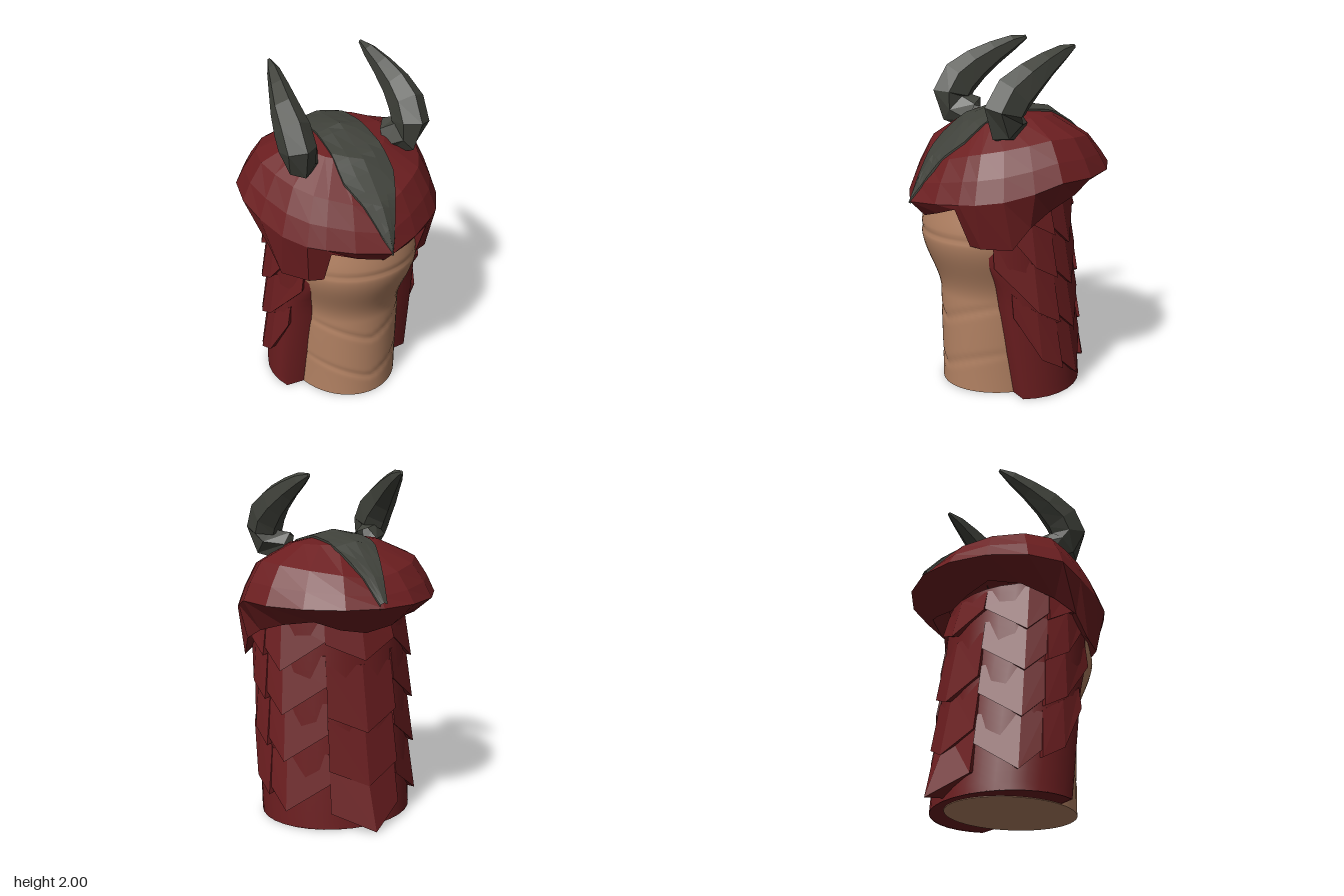
import * as THREE from 'three';

const paint = (name, color) => {
  const m = new THREE.MeshStandardMaterial({ color, side: THREE.DoubleSide });
  m.name = name;
  return m;
};
const { lerp, degToRad } = THREE.MathUtils;
const bump = (y, at, width) => Math.exp(-(((y - at) / width) ** 2));

// Surface through equal-length rows of [x, y, z] points
function loft(rows, { closed = false, flat = true } = {}) {
  const n = rows[0].length, index = [];
  for (let r = 0; r < rows.length - 1; r++) {
    for (let c = 0; c < (closed ? n : n - 1); c++) {
      const a = r * n + c, b = r * n + (c + 1) % n;
      index.push(a, b, a + n, b, b + n, a + n);
    }
  }
  let g = new THREE.BufferGeometry();
  g.setAttribute('position', new THREE.Float32BufferAttribute(rows.flat(2), 3));
  g.setIndex(index);
  if (flat) g = g.toNonIndexed();
  g.computeVertexNormals();
  return g;
}

export function createModel() {
  const model = new THREE.Group();
  const red = paint('dark red', 0x6c1e20);
  const tan = paint('tan skin', 0xb38263);
  const dark = paint('charcoal horn', 0x40423b);
  const add = (name, geo, mat, parent = model) => {
    const m = new THREE.Mesh(geo, mat);
    m.name = name;
    parent.add(m);
    return m;
  };

  // Neck: smooth column with V-shaped skin folds. Keys: y, front z, back z, half width
  const keys = [[0, .39, -.38, .325], [.56, .395, -.34, .33], [.94, .503, -.28, .4], [1.2, .47, -.24, .37]];
  const neckAt = (y) => {
    let i = 0;
    while (i < keys.length - 2 && y > keys[i + 1][0]) i++;
    const t = THREE.MathUtils.smoothstep(y, keys[i][0], keys[i + 1][0]);
    return keys[i].map((v, k) => lerp(v, keys[i + 1][k], t));
  };
  const neckRows = [];
  for (let r = 0; r <= 80; r++) {
    const y = 1.2 * r / 80, [, zf, zb, rx] = neckAt(y), row = [];
    for (let c = 0; c < 48; c++) {
      const a = c / 48 * Math.PI * 2, s = Math.sin(a), k = Math.cos(a);
      const v = Math.abs(s) * rx * .42;
      const dent = k > 0 ? k * .008 * (bump(y, .41 + v, .02) + bump(y, .12 + v, .02) + bump(y, .95, .015)) : 0;
      row.push([s * (rx - dent), y, (zf + zb) / 2 + k * ((zf - zb) / 2 - dent)]);
    }
    neckRows.push(row);
  }
  add('neck', loft(neckRows, { closed: true, flat: false }), tan);
  add('neckBase', loft([neckRows[0].map(() => [0, 0, 0]), neckRows[0]], { closed: true }), tan);

  // Mantle: rounded shell over the back; angle 0 is the spine, front edge leans forward near the cheeks
  const mantleAt = (deg, y, out = 0) => {
    const a = degToRad(deg);
    return [(.452 + out) * Math.sin(a), y, lerp(-.04, .05, y / 1.15) - (.395 + out) * Math.cos(a)];
  };
  const reach = (y) => 110.5 + 12 * y + 9 * bump(y, .85, .13);
  const mantleRows = [];
  for (let r = 0; r <= 24; r++) {
    const y = 1.22 * (1 - r / 24), row = [];
    for (let i = -10; i <= 10; i++) row.push(mantleAt(reach(y) * i / 10, y));
    const z = row[0][2];
    mantleRows.push([[-.28, y, z + .01], ...row, [.28, y, z + .01]]);
  }
  add('mantle', loft(mantleRows, { flat: false }), red);
  const hem = mantleRows[24].map(([x, , z]) => [x, .004, z]);
  add('mantleBase', loft([hem, hem.map(() => [0, .004, 0])]), red);

  // Scales: plates flush at the top, lifted at the pointed lower edge
  const scales = new THREE.Group();
  scales.name = 'scales';
  model.add(scales);
  const scale = (angles, tops, bottoms, lifts) => {
    const top = tops.map((v) => Math.min(v, 1.2));
    const under = angles.map((d, i) => mantleAt(d, bottoms[i] + .015, -.015));
    const lower = angles.map((d, i) => mantleAt(d, bottoms[i], lifts[i]));
    const upper = angles.map((d, i) => mantleAt(d, top[i], .004));
    const inside = angles.map((d, i) => mantleAt(d, top[i], -.015));
    const wrap = (row, inner) => [inner[0], ...row, inner[2]];
    add('scale', loft([wrap(inside, inside), wrap(upper, inside), wrap(lower, under), wrap(under, under)]), red, scales);
  };
  [.97, .56, .25, .004].forEach((tip, i) => {
    const top = tip + .38;
    scale([-27, 0, 27], [top, top, top], [tip + .1, tip, tip + .1], [.03, i === 3 ? .112 : .045, .03]);
  });
  for (const s of [-1, 1]) {
    [.98, .73, .46, .17].forEach((tip) => {
      const front = Math.min(tip + .35, 1.1);
      scale([76, 94, reach(front) - 3].map((d) => d * s), [tip + .28, tip + .36, tip + .48],
        [tip, tip + .08, front], [.04, .035, .025]);
      scale([27, 60, 78].map((d) => d * s), [tip + .27, tip + .27, tip + .27],
        [tip + .1, tip - .07, tip + .06], [.02, .04, .025]);
    });
  }

  // Hood: faceted dome, rim, cheek flaps and brim; half outlines from back to front
  const rim = [[0, 1.3, -.61], [.21, 1.3, -.565], [.4, 1.3, -.44], [.535, 1.3, -.255], [.582, 1.3, -.05], [.55, 1.25, .1],
    [.495, 1.21, .26], [.41, 1.19, .39], [.33, 1.18, .45], [.33, 1.18, .45], [.19, 1.16, .53], [0, 1.14, .6]];
  const edge = [[0, 1.13, -.41], [.16, 1.16, -.41], [.3, 1.21, -.36], [.42, 1.18, -.22], [.475, 1.12, -.03], [.5, 1.05, .1],
    [.478, .93, .2], [.38, .93, .34], [.3, .93, .37], [.3, 1.15, .46], [.16, 1.1, .5], [0, 1.05, .513]];
  const both = (half) => [...half, ...half.slice(1, -1).reverse().map(([x, y, z]) => [-x, y, z])];
  // scale, then height fraction at side, front and back
  const domeRing = ([s, side, front, back]) => both(rim.map(([x, y, z]) =>
    [x * s, lerp(y, 1.645, lerp(z > 0 ? front : back, side, x / .582)), z * s]));
  const hoodRows = [[0, 1, 1, 1], [.45, .88, .8, .88], [.8, .62, .42, .4], [.92, .3, .2, .16], [1, 0, 0, 0]].map(domeRing);
  hoodRows.push(both(edge), both(edge.map(([x, y, z]) => [x * .84, y + .1, z * .84])));
  const hood = add('hood', loft(hoodRows, { closed: true }), red);

  // Crest: ridged strip laid over the dome from brim to back. Keys: z, half width
  const ray = new THREE.Raycaster(), down = new THREE.Vector3(0, -1, 0);
  const drop = (x, z) => {
    ray.set(new THREE.Vector3(x, 3, z), down);
    const hit = ray.intersectObject(hood)[0];
    return hit ? hit.point.y : 1.16;
  };
  const crestKeys = [[.596, .004], [.55, .04], [.515, .06], [.48, .08], [.455, .094], [.43, .108], [.4, .125], [.33, .155],
    [.27, .155], [.235, .153], [.18, .15], [.05, .145], [0, .143], [-.08, .14], [-.2, .133], [-.275, .127],
    [-.38, .095], [-.488, .06], [-.56, .036], [-.6, .022]];
  const crestRows = crestKeys.map(([z, w]) => {
    // both sides share the higher ground so the strip stays symmetric
    const ground = (x) => Math.max(drop(x, z), drop(-x, z));
    const top = [-1, -.5, 0, .5, 1].map((k) => [k * w, ground(k * w) + .019 - .006 * Math.abs(k), z]);
    const skirt = ([x, y]) => [x, y - .03, z];
    return [skirt(top[0]), ...top, skirt(top[4])];
  });
  crestRows.unshift(crestRows[0].map(() => [0, 1.135, .61]));
  add('crest', loft(crestRows), dark);

  // Horns: six-sided, rooted inward, curving up and back. Keys: x, y, z, radius
  const horn = [[.25, 1.56, .08, .1], [.335, 1.595, .165, .11], [.35, 1.67, .18, .125], [.352, 1.76, .125, .122],
    [.344, 1.835, .025, .1], [.322, 1.905, -.09, .072], [.3, 1.96, -.2, .045], [.286, 1.99, -.28, .012]];
  const last = horn.length - 1;
  for (const s of [1, -1]) {
    const pts = horn.map(([x, y, z]) => new THREE.Vector3(x * s, y, z));
    const rows = pts.map((p, i) => {
      const t = pts[Math.min(i + 1, last)].clone().sub(pts[Math.max(i - 1, 0)]).normalize();
      const u = new THREE.Vector3(1, 0, 0).addScaledVector(t, -t.x).normalize();
      const v = t.clone().cross(u), row = [];
      for (let k = 0; k < 6; k++) {
        const a = (k + .5) / 6 * Math.PI * 2, r = horn[i][3];
        row.push(p.clone().addScaledVector(u, Math.cos(a) * r * .78).addScaledVector(v, Math.sin(a) * r).toArray());
      }
      return row;
    });
    rows.push(rows[last].map(() => pts[last].toArray()));
    add(s > 0 ? 'leftHorn' : 'rightHorn', loft(rows, { closed: true }), dark);
  }
  return model;
}
